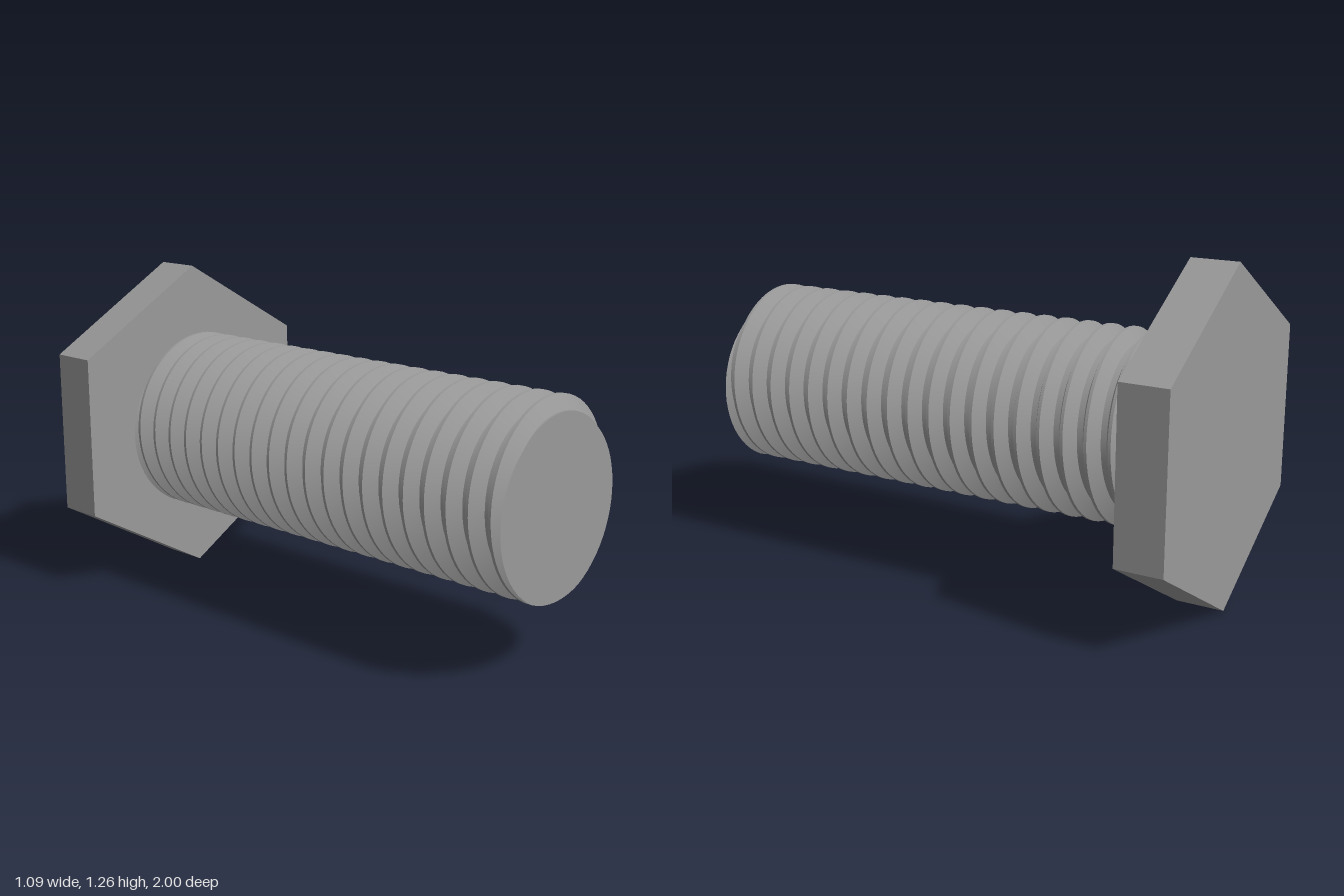
import * as THREE from 'three';

const HEAD_R = 0.63, HEAD_T = 0.18;     // hexagonal head
const CREST = 0.359, ROOT = 0.307;      // thread radii
const PITCH = 0.091, SEG = 64;          // thread lead and segments per turn
const FRONT = 1, BACK = -0.83;          // threaded length, ending inside the head

// Thread radius at a turn fraction and a depth behind the tip
function threadRadius(turn, depth) {
  const p = depth / PITCH - turn;
  const d = Math.abs(p - Math.round(p));
  const t = THREE.MathUtils.clamp((d - 1 / 16) / (5 / 16), 0, 1);
  return THREE.MathUtils.lerp(CREST, ROOT, t);
}

// One helical band between two offsets (in pitches) from the crest line
function threadBand(from, to) {
  const pos = [], index = [];
  const first = -SEG, last = 21 * SEG;
  for (let s = first; s <= last; s++) {
    const turn = s / SEG, a = -Math.PI / 2 - turn * Math.PI * 2;
    for (const o of [from, to]) {
      const depth = THREE.MathUtils.clamp((turn + o) * PITCH, 0, FRONT - BACK);
      const r = threadRadius(turn, depth);
      pos.push(r * Math.cos(a), r * Math.sin(a), FRONT - depth);
    }
    if (s < last) {
      const i = (s - first) * 2;
      index.push(i, i + 2, i + 1, i + 1, i + 2, i + 3);
    }
  }
  const g = new THREE.BufferGeometry();
  g.setAttribute('position', new THREE.Float32BufferAttribute(pos, 3));
  g.setIndex(index);
  g.computeVertexNormals();
  return g;
}

export function createModel() {
  const steel = new THREE.MeshStandardMaterial({ color: 0x999999 });
  steel.name = 'steel grey';
  const model = new THREE.Group();
  model.name = 'hexBolt';
  const add = (name, geometry) => {
    const mesh = new THREE.Mesh(geometry, steel);
    mesh.name = name;
    mesh.position.y = HEAD_R;
    model.add(mesh);
  };

  // Hexagonal head with crisp faces
  const head = new THREE.CylinderGeometry(HEAD_R, HEAD_R, HEAD_T, 6)
    .rotateX(Math.PI / 2).translate(0, 0, -1 + HEAD_T / 2).toNonIndexed();
  head.computeVertexNormals();
  add('head', head);

  // Thread: flat crest, flank, flat root, flank
  add('threadCrest', threadBand(-1 / 16, 1 / 16));
  add('threadRearFlank', threadBand(1 / 16, 3 / 8));
  add('threadRoot', threadBand(3 / 8, 5 / 8));
  add('threadFrontFlank', threadBand(5 / 8, 15 / 16));

  // Flat tip cut across the thread
  const outline = [];
  for (let s = 0; s < SEG; s++) {
    const a = -Math.PI / 2 + (s / SEG) * Math.PI * 2;
    const r = threadRadius(-s / SEG, 0);
    outline.push(new THREE.Vector2(r * Math.cos(a), r * Math.sin(a)));
  }
  add('tip', new THREE.ShapeGeometry(new THREE.Shape(outline)).translate(0, 0, FRONT));
  return model;
}
